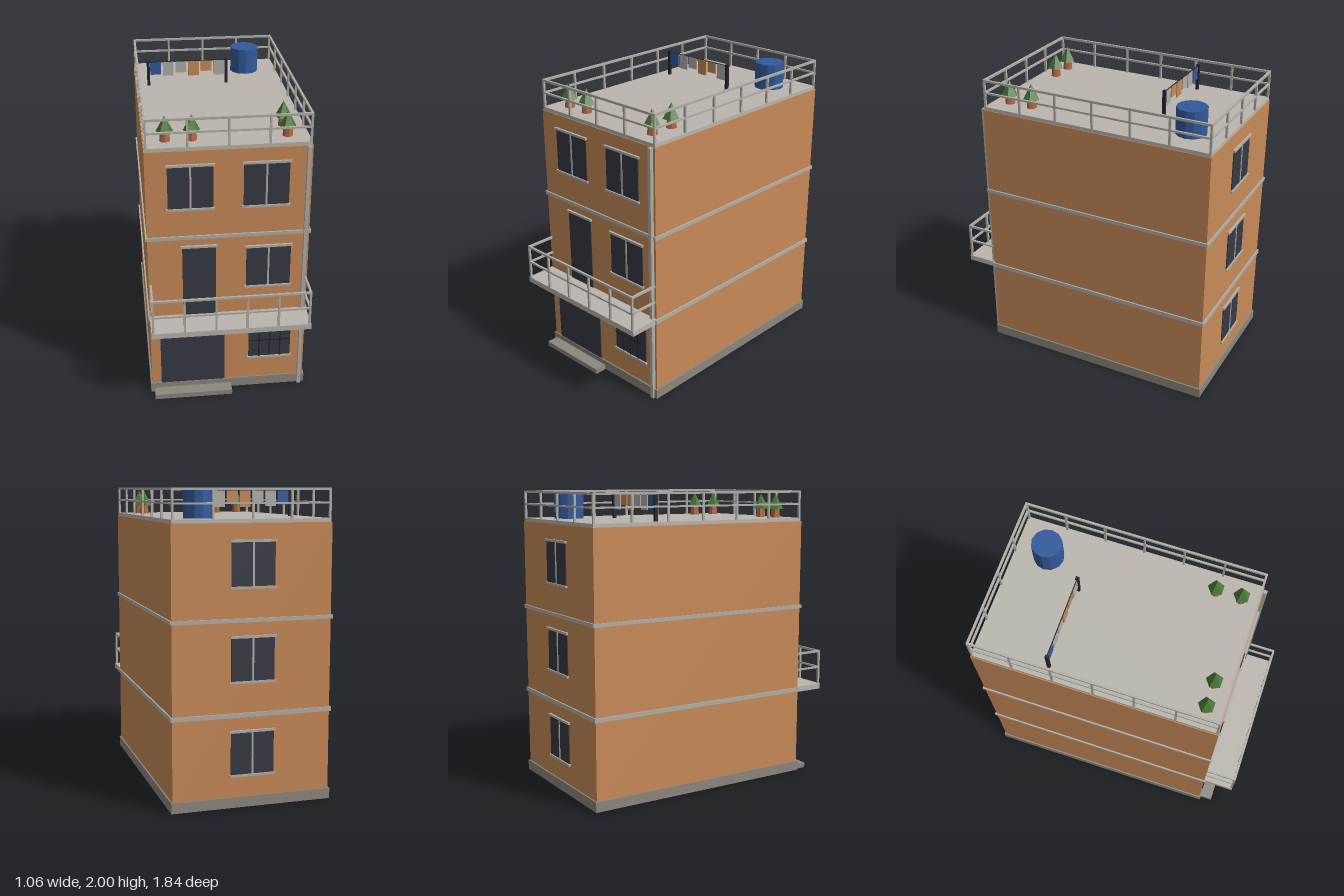
import * as THREE from 'three';

const mat = (name, color, extra = {}) => {
  const m = new THREE.MeshStandardMaterial({ color, ...extra });
  m.name = name;
  return m;
};

export function createModel() {
  const M = {
    wall: mat('ochre wall', 0xc88a58),
    trim: mat('light trim', 0xb2afa9),
    roof: mat('roof concrete', 0xbab6ae),
    base: mat('plinth concrete', 0x8c877e),
    glass: mat('dark glass', 0x363a42),
    iron: mat('black iron', 0x20242a),
    blue: mat('tank blue', 0x33599c, { flatShading: true }),
    leaf: mat('leaf green', 0x4a7a38, { flatShading: true }),
    pot: mat('terracotta', 0xb5673f, { flatShading: true }),
  };
  const model = new THREE.Group();
  model.name = 'house';

  const group = (name, parent = model) => {
    const g = new THREE.Group();
    g.name = name;
    parent.add(g);
    return g;
  };
  // box given by its extents on each axis
  const box = (name, m, x0, x1, y0, y1, z0, z1, parent = model) => {
    const b = new THREE.Mesh(new THREE.BoxGeometry(x1 - x0, y1 - y0, z1 - z0), m);
    b.position.set((x0 + x1) / 2, (y0 + y1) / 2, (z0 + z1) / 2);
    b.name = name;
    parent.add(b);
    return b;
  };

  const FRONT = 0.71, BACK = -0.907;

  // main masses
  box('walls', M.wall, -0.52, 0.52, 0, 1.79, BACK, FRONT);
  box('plinth', M.base, -0.53, 0.53, 0.002, 0.07, BACK - 0.01, FRONT + 0.01);
  box('entranceStep', M.base, -0.505, 0.02, 0, 0.035, FRONT + 0.01, 0.803);
  box('lowerBand', M.trim, -0.53, 0.53, 0.584, 0.612, BACK - 0.01, FRONT + 0.01);
  box('upperBand', M.trim, -0.53, 0.53, 1.183, 1.207, BACK - 0.01, FRONT + 0.01);
  box('roofSlab', M.roof, -0.515, 0.515, 1.785, 1.813, BACK + 0.004, FRONT - 0.005);
  box('balconySlab', M.roof, -0.52, 0.52, 0.578, 0.616, FRONT, 0.918);
  box('drainPipe', M.trim, 0.481, 0.505, 0, 1.79, FRONT, 0.735);

  // openings are built facing +z, then turned for the back wall
  function opening(name, x0, x1, y0, y1, { back = false, sill = true, mullion = true, bars = false } = {}) {
    const g = group(name);
    const cx = (x0 + x1) / 2;
    box('pane', M.glass, x0, x1, y0, y1, -0.002, 0.006, g);
    box('lintel', M.trim, x0 - 0.01, x1 + 0.01, y1 - 0.002, y1 + 0.013, -0.002, 0.015, g);
    if (sill) box('sill', M.trim, x0 - 0.01, x1 + 0.01, y0 - 0.01, y0 + 0.004, -0.002, 0.015, g);
    if (mullion) box('mullion', M.trim, cx - 0.006, cx + 0.006, y0, y1, 0, 0.01, g);
    if (bars) {
      for (let i = 1; i < 4; i++) {
        const x = x0 + (x1 - x0) * i / 4;
        box('bar', M.iron, x - 0.004, x + 0.004, y0, y1, 0, 0.012, g);
      }
      const y = (y0 + y1) / 2;
      box('crossBar', M.iron, x0, x1, y - 0.004, y + 0.004, 0, 0.012, g);
    }
    g.position.z = back ? BACK : FRONT;
    if (back) g.rotation.y = Math.PI;
  }
  opening('topLeftWindow', -0.383, -0.098, 1.4, 1.69);
  opening('topRightWindow', 0.092, 0.378, 1.4, 1.69);
  opening('middleWindow', 0.115, 0.404, 0.81, 1.1);
  opening('balconyDoor', -0.298, -0.082, 0.613, 1.122, { sill: false, mullion: false });
  opening('garageDoor', -0.456, -0.024, 0.07, 0.528, { sill: false, mullion: false });
  opening('barredWindow', 0.14, 0.425, 0.239, 0.504, { mullion: false, bars: true });
  for (const y of [0.212, 0.81, 1.4]) opening('backWindow', -0.142, 0.142, y, y + 0.276, { back: true });

  // straight run of railing with posts and two rails
  function railing(name, a, b, y0, y1, ym, spans, skipLast = false) {
    const g = group(name), r = 0.007;
    const [ax, az] = a, [bx, bz] = b;
    const X = [Math.min(ax, bx) - r, Math.max(ax, bx) + r];
    const Z = [Math.min(az, bz) - r, Math.max(az, bz) + r];
    box('topRail', M.trim, ...X, y1 - 0.015, y1, ...Z, g);
    box('midRail', M.trim, ...X, ym - 0.006, ym + 0.006, ...Z, g);
    for (let i = 0; i <= spans - (skipLast ? 1 : 0); i++) {
      const x = ax + (bx - ax) * i / spans, z = az + (bz - az) * i / spans;
      box('post', M.trim, x - r, x + r, y0, y1 - 0.002, z - r, z + r, g);
    }
  }
  const RX = 0.507, RF = 0.698, RB = -0.896;
  railing('roofFrontRailing', [-RX, RF], [RX, RF], 1.81, 2, 1.908, 4);
  railing('roofBackRailing', [-RX, RB], [RX, RB], 1.81, 2, 1.908, 4);
  railing('balconyFrontRailing', [-RX, 0.91], [RX, 0.91], 0.61, 0.86, 0.736, 5);
  for (const s of [-1, 1]) {
    railing('roofSideRailing', [s * RX, RF], [s * RX, RB], 1.81, 2, 1.908, 6);
    railing('balconySideRailing', [s * RX, 0.91], [s * RX, FRONT], 0.61, 0.86, 0.736, 1, true);
  }

  // water tank
  const tank = new THREE.Mesh(new THREE.CylinderGeometry(0.1, 0.1, 0.18, 12), M.blue);
  tank.name = 'waterTank';
  tank.position.set(0.283, 1.9, -0.676);
  model.add(tank);

  // clothesline with hanging laundry
  const line = group('clothesline');
  const LZ = -0.413;
  for (const x of [-0.43, 0.118]) box('linePost', M.iron, x - 0.01, x + 0.01, 1.81, 1.99, LZ - 0.01, LZ + 0.01, line);
  box('cord', M.iron, -0.43, 0.118, 1.977, 1.983, LZ - 0.003, LZ + 0.003, line);
  const laundry = [[M.blue, 0.09], [M.trim, 0.1], [M.trim, 0.08], [M.wall, 0.105], [M.wall, 0.075], [M.trim, 0.105]];
  laundry.forEach(([m, h], i) => {
    const x = -0.417 + i * 0.089;
    box('cloth', m, x, x + 0.075, 1.98 - h, 1.98, LZ - 0.004, LZ + 0.004, line);
  });

  // potted shrubs
  for (const [x, z] of [[-0.383, 0.588], [-0.217, 0.588], [0.38, 0.588], [0.38, 0.42]]) {
    const g = group('pottedShrub');
    const pot = new THREE.Mesh(new THREE.CylinderGeometry(0.026, 0.034, 0.075, 8), M.pot);
    pot.name = 'pot';
    pot.position.y = 0.036;
    const crown = new THREE.Mesh(new THREE.ConeGeometry(0.056, 0.105, 5), M.leaf);
    crown.name = 'crown';
    crown.position.y = 0.112;
    crown.rotation.y = Math.PI;
    g.add(pot, crown);
    g.position.set(x, 1.812, z);
  }
  return model;
}
